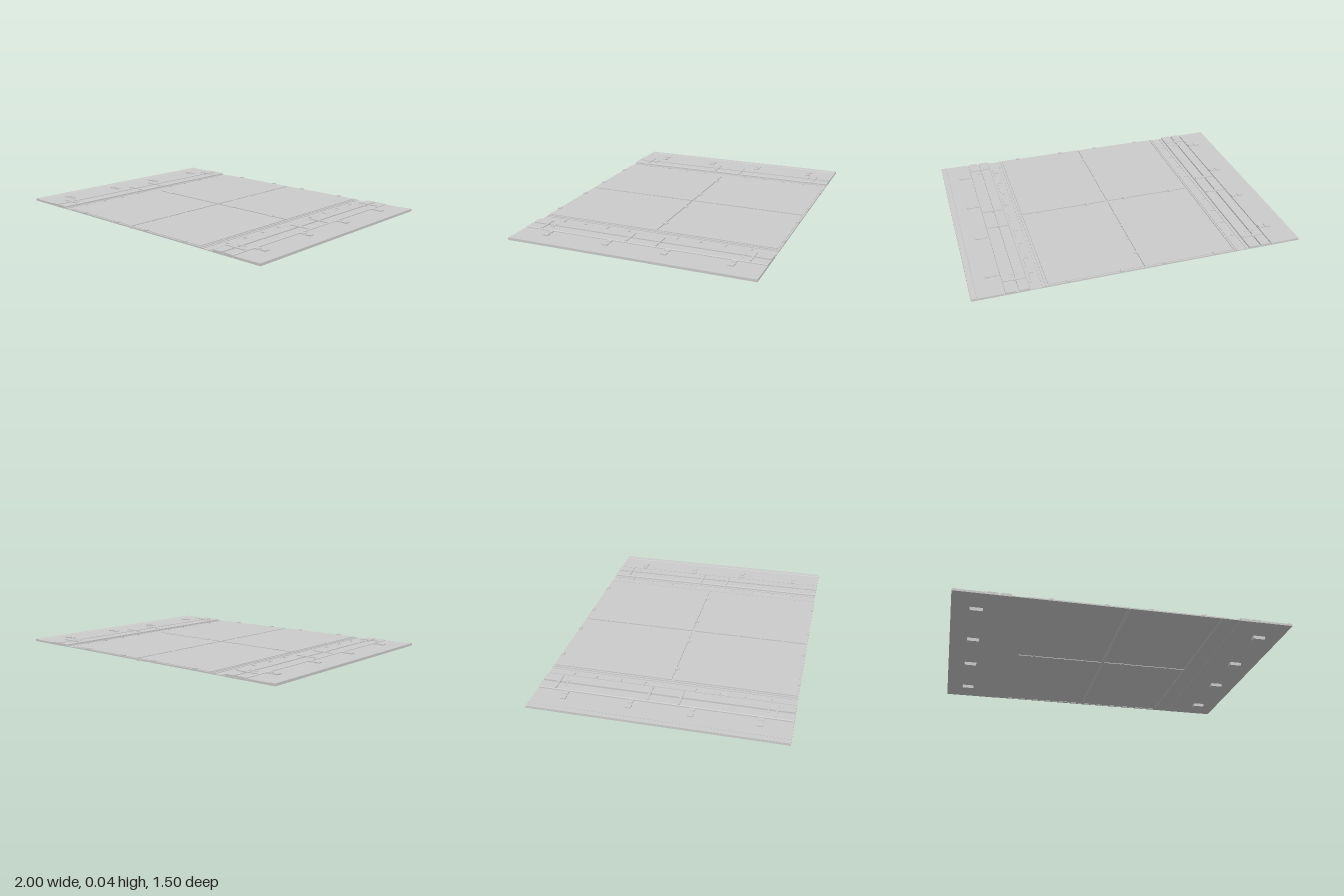
import * as THREE from 'three';

const mat = new THREE.MeshStandardMaterial({ color: 0xcccccc, flatShading: true });
const LEN = 1.5;

export function createModel() {
  const root = new THREE.Group();

  // Box given by its min and max limits
  function box(parent, name, x0, x1, y0, y1, z0, z1) {
    const m = new THREE.Mesh(new THREE.BoxGeometry(x1 - x0, y1 - y0, z1 - z0), mat);
    m.position.set((x0 + x1) / 2, (y0 + y1) / 2, (z0 + z1) / 2);
    m.name = name;
    parent.add(m);
    return m;
  }

  // Cross-section in x,y swept along z
  function sweep(parent, name, pts, length = LEN, z = 0) {
    const shape = new THREE.Shape(pts.map(p => new THREE.Vector2(p[0], p[1])));
    const g = new THREE.ExtrudeGeometry(shape, { depth: length, bevelEnabled: false });
    g.translate(0, 0, z - length / 2);
    const m = new THREE.Mesh(g, mat);
    m.name = name;
    parent.add(m);
    return m;
  }

  // Four large centre panels with narrow joints between them
  const floor = new THREE.Group();
  floor.name = 'centreFloor';
  root.add(floor);
  for (const s of [-1, 1]) for (const t of [-1, 1]) {
    const x = [s * 0.007, s * 0.567].sort((a, b) => a - b);
    const z = [t * 0.007, t * 0.74].sort((a, b) => a - b);
    box(floor, 'floorPanel', x[0], x[1], 0.025, 0.033, z[0], z[1]);
  }

  // Channels below the joints and edge strips at both ends
  sweep(floor, 'centreChannel', [[-0.01, 0.026], [-0.004, 0.019], [0.004, 0.019], [0.01, 0.026]]);
  box(floor, 'crossChannel', -0.567, 0.567, 0.021, 0.027, -0.01, 0.01);
  for (const t of [-1, 1])
    box(floor, 'endStrip', -0.567, 0.567, 0.022, 0.03, t * 0.744 - 0.006, t * 0.744 + 0.006);

  // Hinges over the cross joints
  for (const z of [-0.74, 0, 0.74]) for (const x of [-0.45, -0.13, 0.13, 0.45])
    box(floor, 'hinge', x - 0.012, x + 0.012, 0.022, 0.037, z - (z ? 0.01 : 0.014), z + (z ? 0.01 : 0.014));

  const clipZ = [-0.6, -0.45, -0.3, -0.155, 0.155, 0.3, 0.45, 0.595];
  for (const z of clipZ) box(floor, 'centreClip', -0.009, 0.009, 0.024, 0.034, z - 0.006, z + 0.006);

  // Side assembly, built on +x; the other side is turned half way round
  for (const s of [-1, 1]) {
    const side = new THREE.Group();
    side.name = s > 0 ? 'leftSide' : 'rightSide';
    if (s < 0) side.rotation.y = Math.PI;
    root.add(side);

    // Narrow stepped strips next to the floor panels
    box(side, 'innerStrip', 0.573, 0.583, 0.023, 0.031, -0.75, 0.75);
    box(side, 'innerStrip', 0.588, 0.6, 0.023, 0.029, -0.75, 0.75);
    box(side, 'gutter', 0.56, 0.68, 0.022, 0.026, -0.75, 0.75);
    box(side, 'gutterRidge', 0.648, 0.653, 0.025, 0.029, -0.75, 0.75);
    for (const z of clipZ) {
      box(side, 'gutterClip', 0.622, 0.646, 0.025, 0.031, z - 0.003, z + 0.003);
      box(side, 'gutterClipFoot', 0.622, 0.628, 0.025, 0.031, z - 0.008, z + 0.003);
    }

    // Twin raised rails with a groove between them
    sweep(side, 'innerRail', [[0.67, 0.021], [0.733, 0.021], [0.733, 0.038], [0.674, 0.038], [0.67, 0.035]]);
    sweep(side, 'outerRail', [[0.747, 0.021], [0.81, 0.021], [0.81, 0.035], [0.806, 0.038], [0.747, 0.038]]);
    box(side, 'railGroove', 0.733, 0.747, 0.021, 0.027, -0.75, 0.75);
    for (const z of [-0.648, -0.093, 0.093, 0.648])
      box(side, 'crossBar', 0.677, 0.805, 0.03, 0.043, z - 0.007, z + 0.007);
    for (const z of [-0.597, 0.597]) {
      box(side, 'railClip', 0.712, 0.768, 0.035, 0.04, z - 0.004, z + 0.004);
      for (const x of [0.715, 0.765])
        box(side, 'railClipEnd', x - 0.004, x + 0.004, 0.035, 0.0405, z - 0.008, z + 0.008);
    }

    // Outer apron with a raised lip
    box(side, 'apronGroove', 0.808, 0.82, 0.021, 0.026, -0.75, 0.75);
    sweep(side, 'apron', [[0.818, 0.021], [1, 0.021], [1, 0.036], [0.968, 0.036], [0.964, 0.034], [0.818, 0.034]]);

    // Mounting lugs through the apron
    for (const z of [-0.57, -0.18, 0.18, 0.57]) {
      const lug = new THREE.Group();
      lug.name = 'mountingLug';
      lug.position.z = z;
      side.add(lug);
      sweep(lug, 'lugFoot', [[0.82, 0.03], [0.82, 0.003], [0.823, 0], [0.89, 0], [0.895, 0.005], [0.895, 0.03]], 0.034);
      box(lug, 'lugBase', 0.82, 0.845, 0.03, 0.04, -0.015, 0.015);
      box(lug, 'lugHead', 0.862, 0.895, 0.03, 0.041, -0.017, 0.017);
      box(lug, 'lugBridge', 0.843, 0.864, 0.03, 0.037, -0.011, 0.011);
    }
  }
  return root;
}
